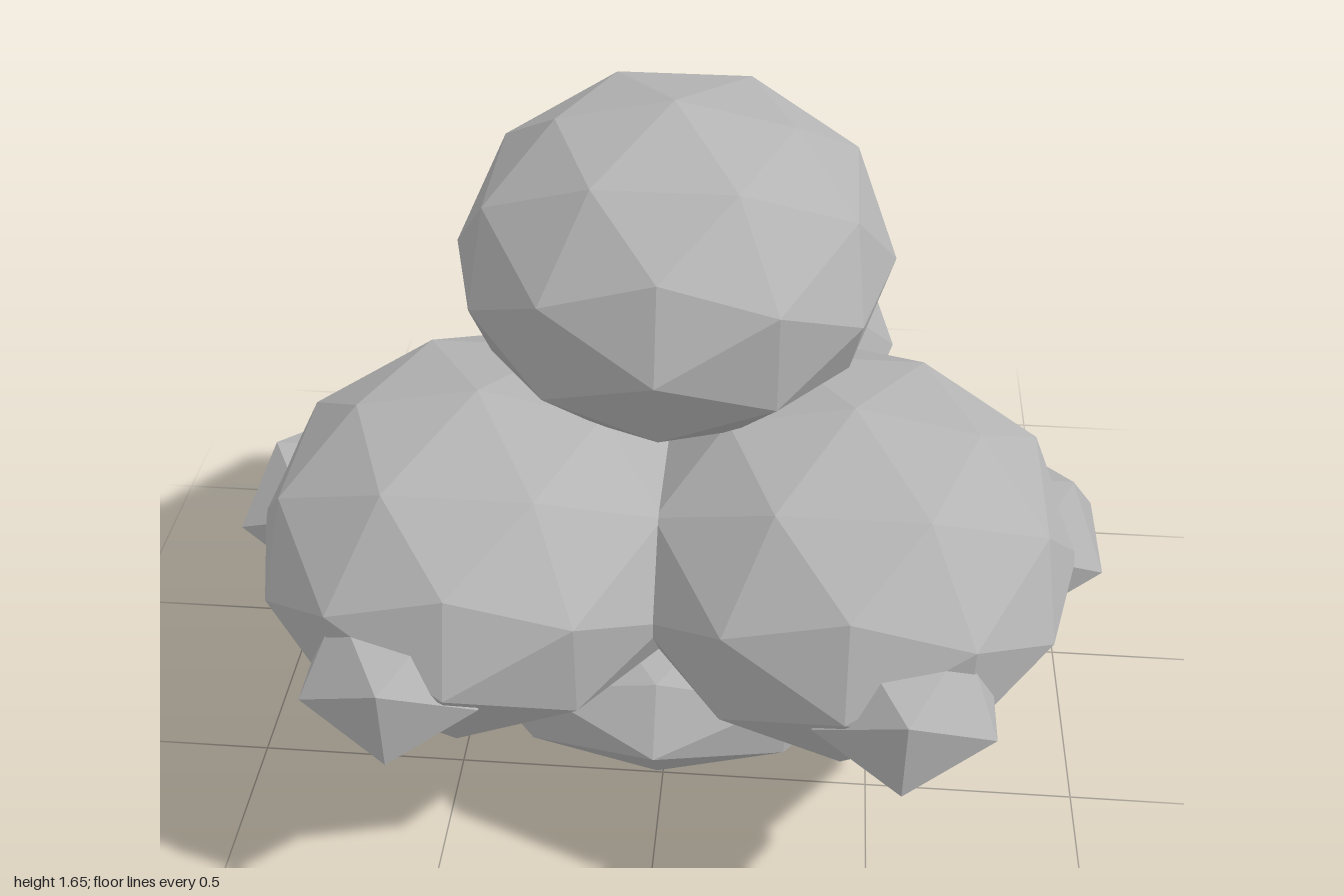
import * as THREE from 'three';

const grey = new THREE.MeshStandardMaterial({ color: 0xb4b4b4, flatShading: true });
grey.name = 'stone grey';

// Faceted ellipsoid: detail 1 for large lobes, 0 for small nubs
function blob(name, detail, [rx, ry, rz], [x, y, z]) {
  const geometry = new THREE.IcosahedronGeometry(1, detail);
  geometry.scale(rx, ry, rz);
  geometry.computeVertexNormals();
  const mesh = new THREE.Mesh(geometry, grey);
  mesh.name = name;
  mesh.position.set(x, y, z);
  return mesh;
}

export function createModel() {
  const group = new THREE.Group();
  group.name = 'lobedCluster';

  // Tapered foot
  const foot = new THREE.Mesh(
    new THREE.CylinderGeometry(0.46, 0.28, 0.2, 12).toNonIndexed(), grey);
  foot.geometry.computeVertexNormals();
  foot.name = 'foot';
  foot.position.y = 0.1;
  group.add(foot);

  // Central masses
  group.add(blob('lowerBody', 1, [0.59, 0.27, 0.645], [0, 0.315, 0.1]));
  group.add(blob('topLobe', 1, [0.493, 0.37, 0.535], [0, 1.28, 0.105]));
  group.add(blob('backLobe', 1, [0.54, 0.38, 0.58], [-0.005, 0.685, -0.42]));

  // Mirrored front lobes and their nubs
  for (const [side, s] of [['left', 1], ['right', -1]]) {
    group.add(blob(side + 'FrontLobe', 1, [0.525, 0.38, 0.575], [s * 0.415, 0.685, 0.38]));
    const nub = [0.225, 0.19, 0.235];
    group.add(blob(side + 'FrontNub', 0, nub, [s * 0.54, 0.635, 0.8]));
    group.add(blob(side + 'SideNub', 0, nub, [s * 0.808, 0.645, 0.275]));
    group.add(blob(side + 'BackNub', 0, nub, [s * 0.268, 0.65, -0.757]));
  }
  return group;
}
